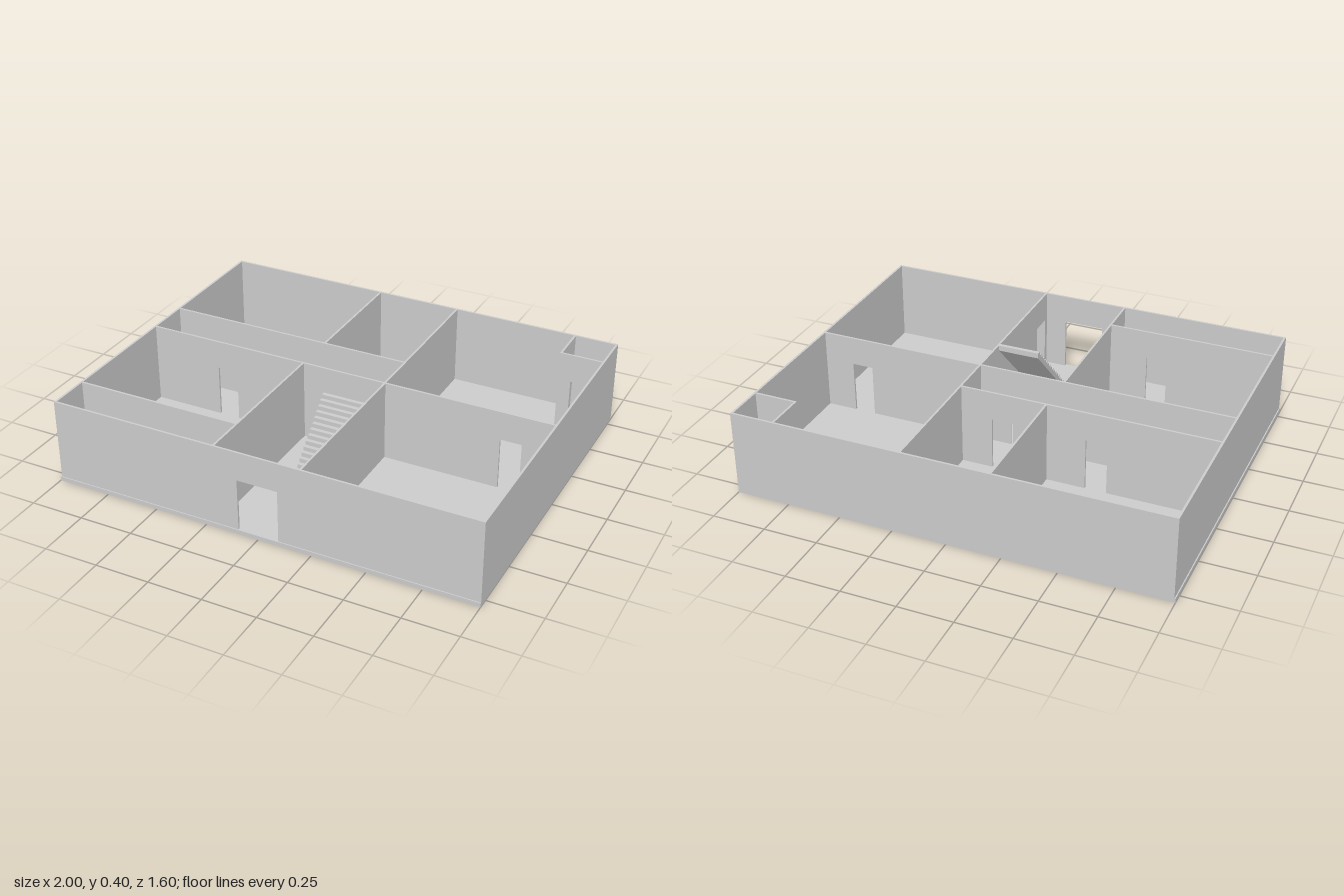
import * as THREE from 'three';

const FLOOR = 0.02, TOP = 0.4, DOOR_TOP = 0.265, T = 0.01;

export function createModel() {
  const house = new THREE.Group();
  house.name = 'floorPlan';
  const material = new THREE.MeshStandardMaterial({ color: 0xcccccc, flatShading: true });

  function add(name, geometry) {
    const mesh = new THREE.Mesh(geometry, material);
    mesh.name = name;
    house.add(mesh);
    return mesh;
  }

  const extrude = (shape, depth) => new THREE.ExtrudeGeometry(shape, { depth, bevelEnabled: false });

  // Upright wall outline from a to b, notched at the floor for each doorway [from, to]
  function wallShape(a, b, doors) {
    const s = new THREE.Shape();
    s.moveTo(a, FLOOR);
    for (const [d0, d1] of doors) {
      s.lineTo(d0, FLOOR);
      s.lineTo(d0, DOOR_TOP);
      s.lineTo(d1, DOOR_TOP);
      s.lineTo(d1, FLOOR);
    }
    s.lineTo(b, FLOOR);
    s.lineTo(b, TOP);
    s.lineTo(a, TOP);
    s.closePath();
    return s;
  }

  // Wall running along x, occupying z .. z + T
  function wallX(name, a, b, z, doors = []) {
    add(name, extrude(wallShape(a, b, doors), T)).position.z = z;
  }

  // Wall running along z, occupying x .. x + T
  function wallZ(name, a, b, x, doors = []) {
    const geometry = extrude(wallShape(a, b, doors), T).rotateY(-Math.PI / 2);
    add(name, geometry).position.x = x + T;
  }

  // Floor slab with the stairwell opening
  const floor = new THREE.Shape([
    new THREE.Vector2(-1, -0.8), new THREE.Vector2(1, -0.8),
    new THREE.Vector2(1, 0.8), new THREE.Vector2(-1, 0.8),
  ]);
  floor.holes.push(new THREE.Path([
    new THREE.Vector2(0.02, 0.21), new THREE.Vector2(0.02, 0.4),
    new THREE.Vector2(0.17, 0.4), new THREE.Vector2(0.17, 0.21),
  ]));
  add('floor', extrude(floor, FLOOR).rotateX(Math.PI / 2)).position.y = FLOOR;

  // Outer walls, set in slightly from the slab at the front and one side
  wallX('frontWall', -0.995, 1, 0.785, [[-0.095, 0.095]]);
  wallX('backWall', -0.995, 1, -0.8);
  wallZ('rightWall', -0.79, 0.785, -0.995);
  wallZ('leftWall', -0.79, 0.785, 0.99);

  // Partitions across the house
  wallX('middleWall', -0.985, 0.99, 0, [[-0.65, -0.55], [-0.05, 0.05], [0.75, 0.85]]);
  wallX('corridorWall', -0.985, 0.195, -0.208, [[-0.49, -0.39], [-0.05, 0.05]]);
  wallX('frontRoomWall', -0.985, -0.21, 0.592, [[-0.49, -0.39]]);

  // Partitions running front to back
  wallZ('backRoomWall', -0.79, -0.208, -0.21);
  wallZ('hallRightWall', 0.01, 0.785, -0.21);
  wallZ('backLeftRoomWall', -0.79, 0, 0.195);
  wallZ('hallLeftWall', 0.01, 0.785, 0.195, [[0.66, 0.76]]);

  // Corner closet
  wallX('closetFrontWall', 0.79, 0.99, -0.612, [[0.85, 0.95]]);
  wallZ('closetSideWall', -0.79, -0.612, 0.79);

  // Staircase: stepped top with a sloping underside, rising to the back
  const steps = 20, z0 = 0.58, z1 = 0.2;
  const run = (z0 - z1) / steps, rise = (TOP - FLOOR) / steps;
  const stair = new THREE.Shape();
  stair.moveTo(z0, FLOOR);
  for (let i = 0; i < steps; i++) {
    stair.lineTo(z0 - i * run, FLOOR + (i + 1) * rise);
    stair.lineTo(z0 - (i + 1) * run, FLOOR + (i + 1) * rise);
  }
  stair.lineTo(z1, TOP - 0.025);
  stair.lineTo(z0 - 0.025, FLOOR);
  stair.closePath();
  add('staircase', extrude(stair, 0.195).rotateY(-Math.PI / 2)).position.x = 0.195;

  return house;
}
